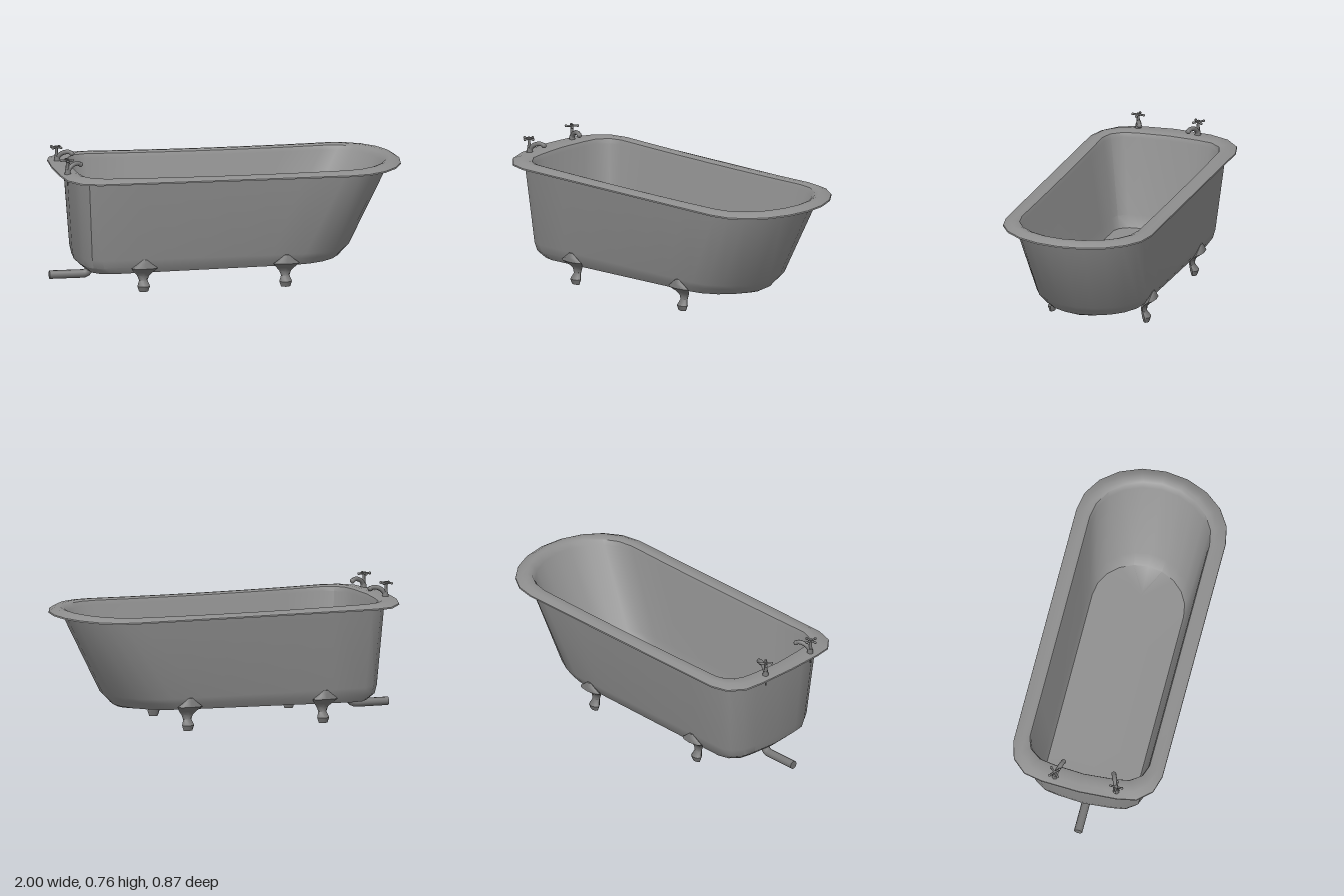
import * as THREE from 'three';
import { toCreasedNormals } from 'three/addons/utils/BufferGeometryUtils.js';

const enamel = new THREE.MeshStandardMaterial({ color: 0x8e8e8e, side: THREE.DoubleSide });
const metal = new THREE.MeshStandardMaterial({ color: 0x787878, side: THREE.DoubleSide });
const V = (x, y, z) => new THREE.Vector3(x, y, z);

function add(parent, geometry, name, material = metal) {
  const mesh = new THREE.Mesh(geometry, material);
  mesh.name = name;
  parent.add(mesh);
  return mesh;
}

// Skin a list of closed rings that all have the same number of points
function loft(rings, crease = 0.6) {
  const n = rings[0].length, index = [];
  for (let r = 0; r < rings.length - 1; r++) {
    for (let i = 0; i < n; i++) {
      const a = r * n + i, b = r * n + (i + 1) % n;
      index.push(a, b, a + n, b, b + n, a + n);
    }
  }
  const geometry = new THREE.BufferGeometry().setFromPoints(rings.flat());
  geometry.setIndex(index);
  return toCreasedNormals(geometry, crease);
}

// Tub plan: round head end at +x, straight sides, rounded corners at -x
function outline(xl, xr, w, dome, corner, height) {
  const p = [];
  const put = (x, z) => p.push(V(x, typeof height === 'function' ? height(x) : height, z));
  const x0 = xr - dome, x1 = xl + corner, cz = w * 0.5;
  const putCorner = (i, side) => {
    const t = i / 3 * Math.PI / 2;
    put(x1 - corner * Math.sin(t) + 0.004 * i, side * (w - cz + cz * Math.cos(t)));
  };
  for (let i = 0; i <= 10; i++) {
    const t = (i / 10 - 0.5) * Math.PI;
    put(x0 + dome * Math.cos(t), w * Math.sin(t));
  }
  for (let i = 1; i < 6; i++) put(x0 + (x1 - x0) * i / 6, w);
  for (let i = 0; i <= 3; i++) putCorner(i, 1);
  put(xl, 0);
  for (let i = 3; i >= 0; i--) putCorner(i, -1);
  for (let i = 5; i > 0; i--) put(x0 + (x1 - x0) * i / 6, -w);
  return p;
}

function makeTub() {
  const sag = y => x => y + 0.013 * x * x;
  const edge = y => x => y + 0.35 * Math.max(0, -x - 0.93);
  const slope = y => x => y + 0.015 * x;
  return loft([
    // basin, from the floor line upward
    outline(-0.76, 0.45, 0, 0.2, 0.1, slope(0.135)),
    outline(-0.79, 0.6, 0.265, 0.24, 0.1, slope(0.145)),
    outline(-0.82, 0.66, 0.285, 0.27, 0.11, 0.2),
    outline(-0.865, 0.89, 0.34, 0.28, 0.13, sag(0.635)),
    // rolled rim
    outline(-0.875, 0.915, 0.348, 0.29, 0.14, sag(0.66)),
    outline(-0.9, 0.935, 0.37, 0.3, 0.16, sag(0.668)),
    outline(-0.945, 0.965, 0.4, 0.32, 0.2, sag(0.665)),
    outline(-0.985, 0.998, 0.432, 0.34, 0.21, edge(0.655)),
    outline(-0.987, 1, 0.433, 0.34, 0.21, edge(0.647)),
    outline(-0.9, 0.93, 0.378, 0.3, 0.13, 0.657),
    // outer wall and underside
    outline(-0.9, 0.925, 0.375, 0.3, 0.13, 0.64),
    outline(-0.87, 0.705, 0.32, 0.3, 0.12, 0.19),
    outline(-0.86, 0.68, 0.308, 0.3, 0.12, slope(0.155)),
    outline(-0.82, 0.645, 0.285, 0.3, 0.13, slope(0.117)),
    outline(-0.79, 0.62, 0.15, 0.3, 0.12, slope(0.104)),
    outline(-0.76, 0.6, 0, 0.3, 0.12, slope(0.1)),
  ]);
}

// Foot on the +z side, lofted upward: [y, z centre, half x, half z]
function makeFoot() {
  const sections = [
    [0, 0.28, 0, 0], [0, 0.28, 0.026, 0.015], [0.03, 0.281, 0.036, 0.025],
    [0.062, 0.266, 0.024, 0.016], [0.088, 0.266, 0.034, 0.016], [0.11, 0.28, 0.052, 0.019],
    [0.14, 0.314, 0.075, 0.026], [0.165, 0.318, 0.042, 0.018],
    [0.19, 0.323, 0.012, 0.006], [0.19, 0.323, 0, 0],
  ];
  const rings = sections.map(([y, z, hx, hz]) => Array.from({ length: 8 }, (_, i) => {
    const t = -i / 8 * Math.PI * 2;
    return V(hx * Math.cos(t), y, z + hz * Math.sin(t));
  }));
  return loft(rings, 0.8);
}

// Tap with its spout pointing along +x
function makeTap() {
  const tap = new THREE.Group();
  tap.name = 'tap';
  const spout = new THREE.CatmullRomCurve3([
    V(0, -0.01, 0), V(0.008, 0.022, 0), V(0.035, 0.044, 0), V(0.07, 0.049, 0), V(0.088, 0.038, 0),
  ]);
  add(tap, new THREE.TubeGeometry(spout, 12, 0.013, 8), 'spout');
  add(tap, new THREE.SphereGeometry(0.015, 8, 6), 'spoutTip').position.set(0.085, 0.041, 0);
  add(tap, new THREE.CylinderGeometry(0.014, 0.019, 0.03, 8), 'tapBase').position.y = 0.008;
  add(tap, new THREE.CylinderGeometry(0.007, 0.011, 0.07, 8), 'stem').position.set(-0.003, 0.042, 0);
  // cross handle
  const hub = V(-0.005, 0.074, 0);
  add(tap, new THREE.CylinderGeometry(0.009, 0.009, 0.018, 8), 'handleHub').position.copy(hub);
  for (let i = 0; i < 4; i++) {
    const a = i * Math.PI / 2 + 0.4;
    const end = hub.clone().add(V(0.033 * Math.cos(a), 0, 0.033 * Math.sin(a)));
    add(tap, new THREE.TubeGeometry(new THREE.LineCurve3(hub, end), 1, 0.006, 6), 'handleArm');
    add(tap, new THREE.SphereGeometry(0.008, 8, 6), 'handleKnob').position.copy(end);
  }
  // threaded tail below the rim
  add(tap, new THREE.CylinderGeometry(0.005, 0.005, 0.07, 6), 'tail').position.set(0, -0.035, 0);
  return tap;
}

export function createModel() {
  const model = new THREE.Group();
  model.name = 'bathtub';
  add(model, makeTub(), 'tub', enamel);

  const foot = makeFoot();
  for (const x of [-0.51, 0.3]) {
    for (const turn of [0, Math.PI]) {
      const mesh = add(model, foot, 'foot');
      mesh.position.x = x;
      mesh.rotation.y = turn;
    }
  }

  // taps turned slightly toward each other
  for (const [z, turn] of [[0.203, 0.4], [-0.152, -0.35]]) {
    const tap = makeTap();
    tap.position.set(-0.93, 0.679, z);
    tap.rotation.y = turn;
    model.add(tap);
  }

  // drain pipe with elbow
  const drain = new THREE.CurvePath();
  drain.add(new THREE.LineCurve3(V(-1, 0.055, 0), V(-0.81, 0.055, 0)));
  drain.add(new THREE.QuadraticBezierCurve3(V(-0.81, 0.055, 0), V(-0.772, 0.055, 0), V(-0.768, 0.11, 0)));
  add(model, new THREE.TubeGeometry(drain, 20, 0.024, 10), 'drainPipe');
  const cap = add(model, new THREE.CircleGeometry(0.024, 10), 'drainEnd');
  cap.position.set(-1, 0.055, 0);
  cap.rotation.y = -Math.PI / 2;
  return model;
}
